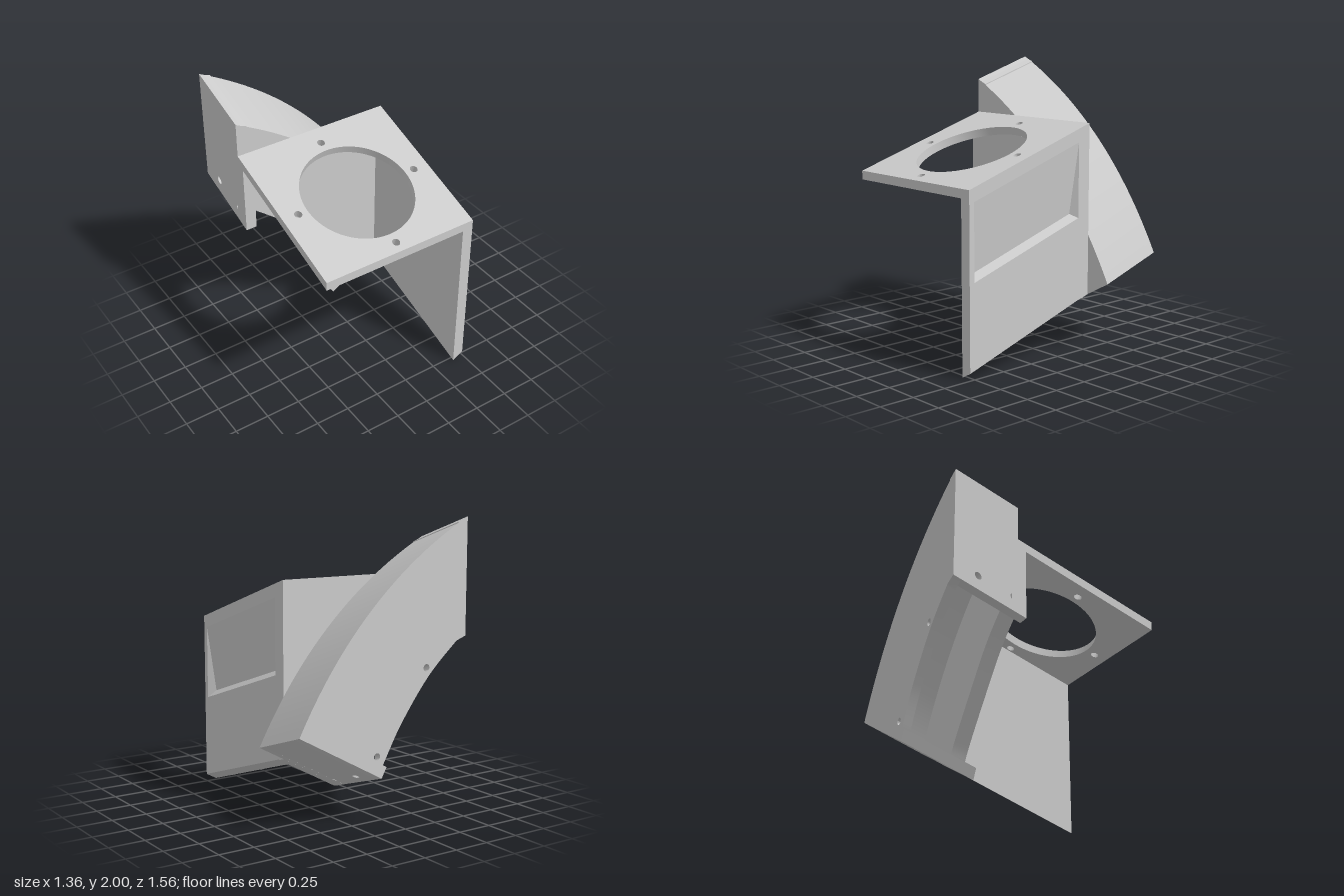
import * as THREE from 'three';
import { toCreasedNormals } from 'three/addons/utils/BufferGeometryUtils.js';

const SLOPE = 0.325; // the whole bracket rises towards the back
const SHEAR = new THREE.Matrix4().set(1, 0, 0, 0, 0, 1, -SLOPE, 0, 0, 0, 1, 0, 0, 0, 0, 1);
const V = (x, y, z) => new THREE.Vector3(x, y, z);
const pts = list => list.map(([x, y]) => new THREE.Vector2(x, y));

export function createModel() {
  const group = new THREE.Group();
  const material = new THREE.MeshStandardMaterial({ color: 0xcccccc });
  const thin = new THREE.MeshStandardMaterial({ color: 0xcccccc, side: THREE.DoubleSide });

  const add = (name, geometry, mat = material) => {
    geometry.applyMatrix4(SHEAR);
    const mesh = new THREE.Mesh(toCreasedNormals(geometry, 0.5), mat);
    mesh.name = name;
    group.add(mesh);
  };

  // Extruded slab; edit(vertex) may bend it before the slope is applied
  const slab = (name, shape, depth, origin, a, b, edit) => {
    const g = new THREE.ExtrudeGeometry(shape, { depth, bevelEnabled: false, curveSegments: 48 });
    g.applyMatrix4(new THREE.Matrix4().makeBasis(a, b, a.clone().cross(b)).setPosition(origin));
    if (edit) {
      const p = g.attributes.position, v = V(0, 0, 0);
      for (let i = 0; i < p.count; i++) {
        edit(v.fromBufferAttribute(p, i));
        p.setXYZ(i, v.x, v.y, v.z);
      }
    }
    add(name, g);
  };
  const X = V(1, 0, 0), Y = V(0, 1, 0), Z = V(0, 0, 1);
  const rect = (a0, a1, b0, b1) => new THREE.Shape(pts([[a0, b0], [a1, b0], [a1, b1], [a0, b1]]));
  const hole = (shape, x, y, rx, ry = rx) =>
    shape.holes.push(new THREE.Path().absellipse(x, y, rx, ry, 0, Math.PI * 2));

  // Fan plate, its holes square to the sloping face
  const plate = rect(-0.68, 0.49, -0.3, 0.78);
  hole(plate, -0.095, 0.265, 0.395, 0.375);
  for (const [x, z] of [[0.467, 0], [-0.467, 0], [0, 0.445], [0, -0.445]])
    hole(plate, -0.095 + x, 0.265 + z, 0.027, 0.026);
  slab('fanPlate', plate, 0.062, V(0, 1.503, 0), X, Z, v => {
    if (v.y < 1.47 && v.z > -0.29 && v.z < 0.77) v.z -= 0.018;
  });

  // Side wall in two layers, lower edge cut at a slant, with a ramped pocket outside
  const slant = v => { if (v.y < 0.4) v.y = 0.3 - 0.55 * (0.49 - v.x); };
  slab('sideWallInner', rect(0.3, 1.5, -0.3, 0.78), 0.025, V(0.41, 0, 0), Y, Z, slant);
  const outer = rect(0.3, 1.5, -0.3, 0.78);
  outer.holes.push(new THREE.Path(pts([[0.885, -0.2], [0.885, 0.74], [1.41, 0.74], [1.41, -0.2]])));
  slab('sideWallOuter', outer, 0.055, V(0.435, 0, 0), Y, Z, slant);
  const pocket = new THREE.BufferGeometry();
  const [A, B, C, D, E, F] = [
    [0.49, 1.41, 0.74], [0.49, 1.41, -0.2], [0.49, 0.885, -0.2],
    [0.49, 0.885, 0.74], [0.44, 0.925, 0.7], [0.44, 0.925, -0.16]];
  pocket.setAttribute('position', new THREE.Float32BufferAttribute(
    [A, E, F, A, F, B, D, C, F, D, F, E, A, D, E, B, F, C].flat(), 3));
  pocket.computeVertexNormals();
  add('wallPocket', pocket, thin);

  // Curved outlines of the duct; the inner cut runs level from front to back
  const outerArc = new THREE.QuadraticBezierCurve(...pts([[-0.68, 1.75], [0.206, 1.304], [0.68, 0.4]])).getPoints(40);
  const insideArc = new THREE.QuadraticBezierCurve(...pts([[-0.68, 1.68], [0.16, 1.255], [0.62, 0.37]])).getPoints(40);
  const innerCut = (list, z) => new THREE.SplineCurve(pts(list.map(([x, y]) => [x, y + SLOPE * z]))).getPoints(32);
  const frontCut = [[0.16, 0.29], [0.09, 0.4], [-0.11, 0.66], [-0.35, 0.95], [-0.6, 1.165]];
  const backCut = [[0.02, 0.385], [-0.13, 0.645], [-0.36, 0.945], [-0.6, 1.165]];
  const tip = pts([[0.03, 0.042], [-0.01, 0.115]]);
  const foot = pts([[-0.6, 0.94], [-0.68, 0.94]]);

  // Panel closing the corner below the fan plate
  slab('cornerPanel', new THREE.Shape([
    ...pts([[-0.68, 1.5], [0.49, 1.5], [0.49, 0.295]]), ...tip, ...innerCut(frontCut, -0.27), ...foot,
  ]), 0.06, V(0, 0, -0.3), X, Y);

  // Duct: front and back panels, curved roof
  slab('ductFrontPanel', new THREE.Shape([...outerArc, ...tip, ...innerCut(frontCut, -0.3), ...foot]),
    0.05, V(0, 0, -0.35), X, Y);
  const back = new THREE.Shape([...outerArc, ...tip, ...innerCut(backCut, -0.78), ...pts([[-0.68, 0.94]])]);
  hole(back, -0.34, 0.75, 0.025);
  hole(back, 0.07, 0.195, 0.025);
  slab('ductBackPanel', back, 0.06, V(0, 0, -0.78), X, Y);
  slab('ductRoof', new THREE.Shape([...outerArc, ...insideArc.reverse()]), 0.48, V(0, 0, -0.78), X, Y);

  // End flanges with screw holes
  const lower = rect(0, 0.742, -0.78, -0.3);
  const upper = rect(0.94, 1.715, -0.78, -0.3);
  for (const z of [-0.335, -0.6]) {
    hole(lower, 0.09, z, 0.025);
    hole(upper, 1.04, z, 0.025);
  }
  slab('lowerFlange', lower, 0.082, V(-0.01, 0.114, 0), V(0.876, 0.482, 0), Z);
  slab('upperFlange', upper, 0.08, V(-0.68, 0, 0), Y, Z, v => { if (v.y > 1.7 && v.x < -0.65) v.y = 1.745; });

  return group;
}
